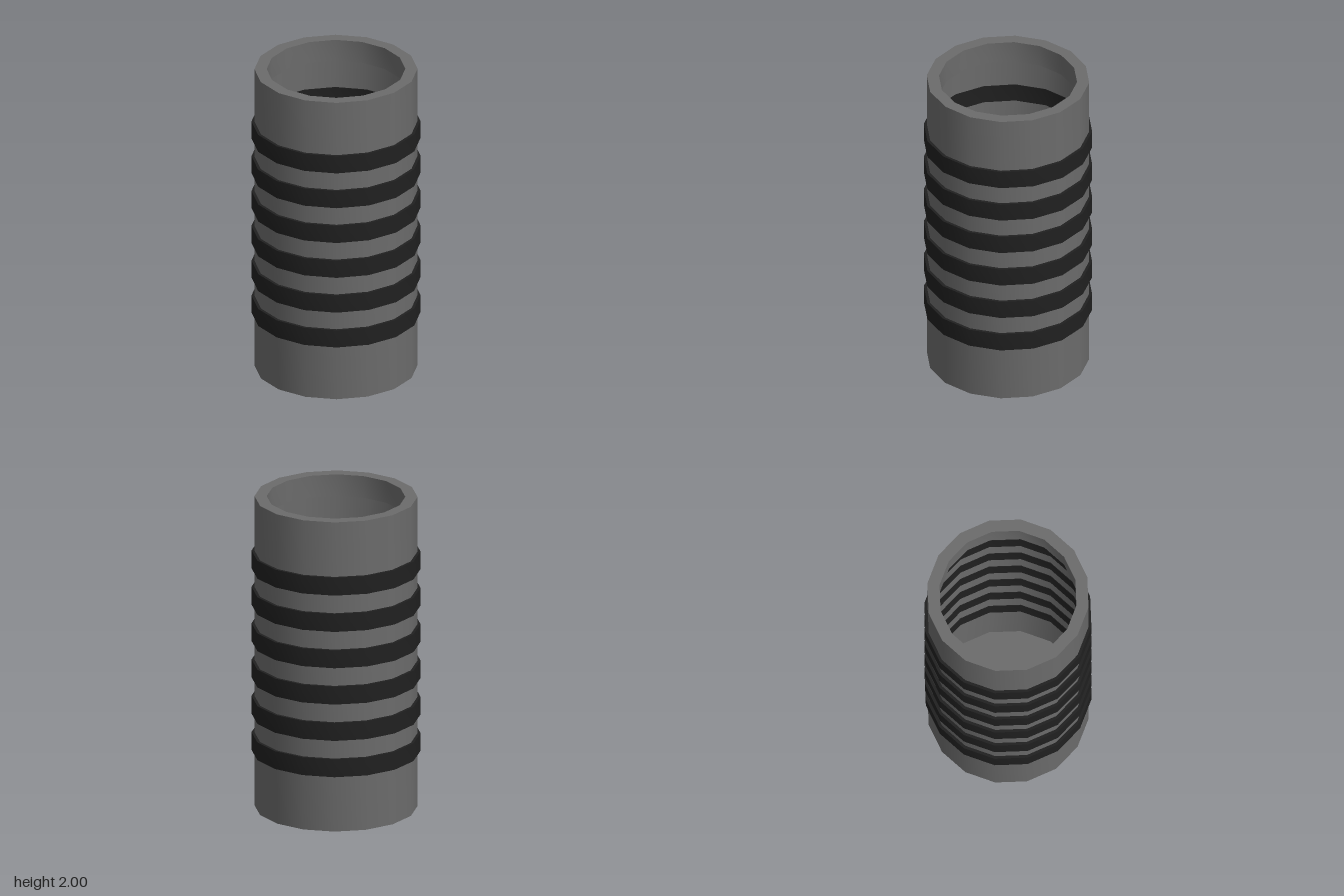
import * as THREE from 'three';
import { toCreasedNormals } from 'three/addons/utils/BufferGeometryUtils.js';

const SIDES = 16;

// Revolve a profile of [radius, height] pairs: smooth around, sharp at the rims
function turned(profile) {
  const points = profile.map(([r, y]) => new THREE.Vector2(r, y));
  return toCreasedNormals(new THREE.LatheGeometry(points, SIDES), 0.5);
}

export function createModel() {
  const group = new THREE.Group();
  group.name = 'ribbedCanister';

  const grey = new THREE.MeshStandardMaterial({ color: 0x6b6b6b, side: THREE.DoubleSide });
  grey.name = 'mid grey';
  const black = new THREE.MeshStandardMaterial({ color: 0x202020 });
  black.name = 'near black';

  // Thin hollow shell: closed floor, outer wall, flat rim and short inner lip
  const shell = new THREE.Mesh(
    turned([[0, 0], [0.5, 0], [0.5, 2], [0.425, 2], [0.425, 1.86]]), grey);
  shell.name = 'shell';
  group.add(shell);

  // Six evenly spaced bands that also show on the inside of the shell
  const h = 0.0575, outer = 0.518, inner = 0.497;
  const bandGeometry = turned(
    [[inner, -h], [outer, -h], [outer, h], [inner, h], [inner, -h]]);
  for (let i = 0; i < 6; i++) {
    const band = new THREE.Mesh(bandGeometry, black);
    band.name = `band${i + 1}`;
    band.position.y = 0.415 + i * 0.235;
    group.add(band);
  }

  return group;
}
